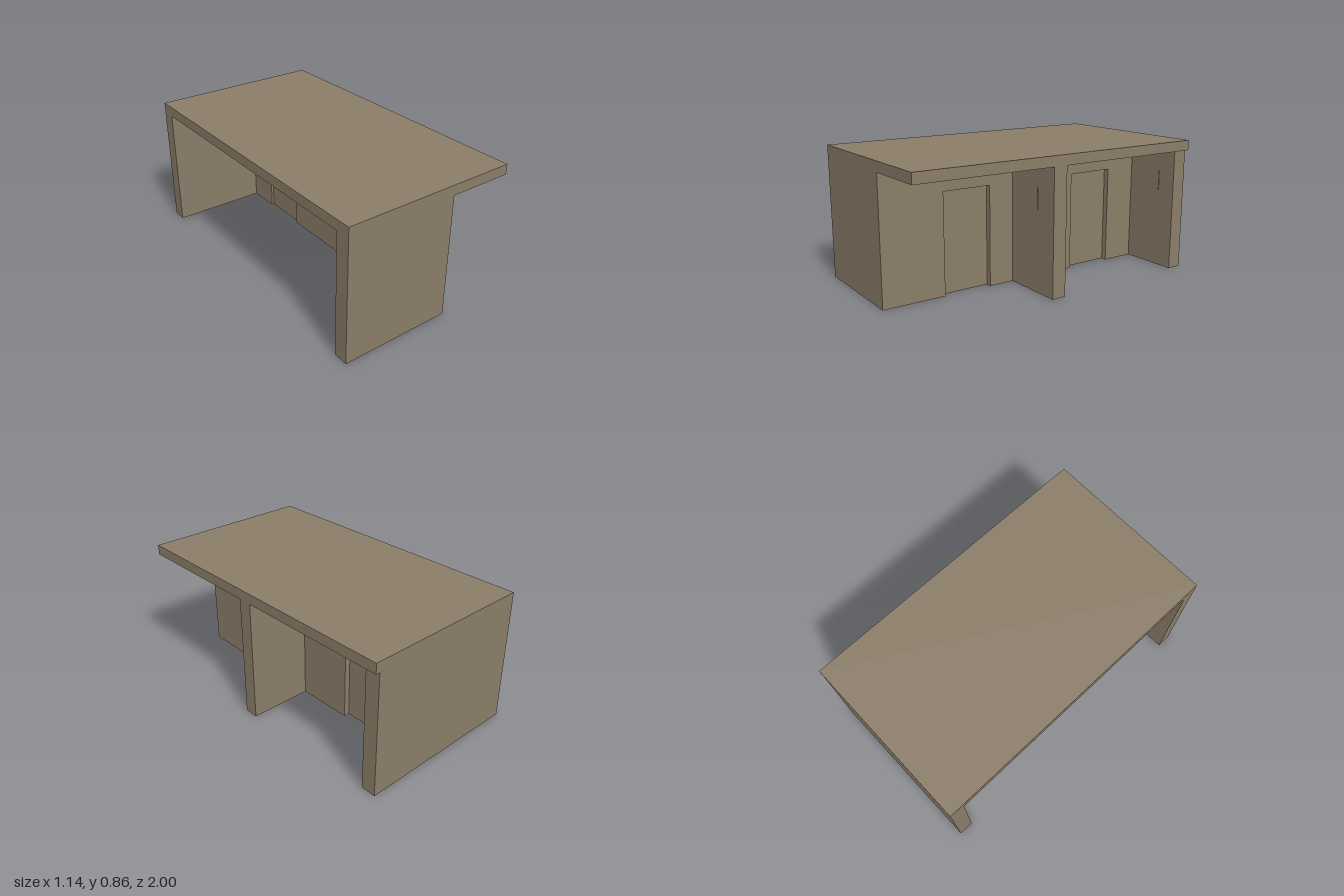
import * as THREE from 'three';

export function createModel() {
  const model = new THREE.Group();
  model.name = 'partitionedShelter';
  const brown = new THREE.MeshStandardMaterial({ color: 0x8a7c68 });
  brown.name = 'warm brown';

  const TOP = 0.795; // wall height, underside of the roof
  const add = (name, geometry) => {
    const mesh = new THREE.Mesh(geometry, brown);
    mesh.name = name;
    model.add(mesh);
  };
  // box given by its extents along each axis
  const block = (name, [x0, x1], [y0, y1], [z0, z1]) => {
    const g = new THREE.BoxGeometry(x1 - x0, y1 - y0, z1 - z0);
    g.translate((x0 + x1) / 2, (y0 + y1) / 2, (z0 + z1) / 2);
    add(name, g);
  };

  // Roof slab and cross walls
  block('roof', [-0.57, 0.57], [TOP, 0.86], [-1, 1]);
  block('backWall', [-0.57, 0.543], [0, TOP], [-1, -0.905]);
  block('frontWall', [-0.57, 0.06], [0, TOP], [0.905, 1]);
  block('dividingWall', [0.155, 0.57], [0, TOP], [0.01, 0.103]);

  // Long wall with a doorway into each bay
  const doors = [[-0.685, -0.365], [0.272, 0.592]];
  const doorTop = 0.64;
  const outline = new THREE.Shape();
  outline.moveTo(-0.905, 0);
  for (const [a, b] of doors) {
    outline.lineTo(a, 0);
    outline.lineTo(a, doorTop);
    outline.lineTo(b, doorTop);
    outline.lineTo(b, 0);
  }
  outline.lineTo(1, 0);
  outline.lineTo(1, TOP);
  outline.lineTo(-0.905, TOP);
  const wall = new THREE.ExtrudeGeometry(outline, { depth: 0.095, bevelEnabled: false });
  wall.rotateY(-Math.PI / 2);
  wall.translate(0.155, 0, 0);
  add('longWall', wall);

  // Door leaves, recessed on both sides
  for (const [a, b] of doors) block('door', [0.077, 0.118], [0, doorTop], [a, b]);

  // Slim upright strips on the cross walls
  for (const z of [-0.905, 0.103]) block('wallStrip', [0.415, 0.417], [0.52, 0.65], [z, z + 0.004]);

  return model;
}
